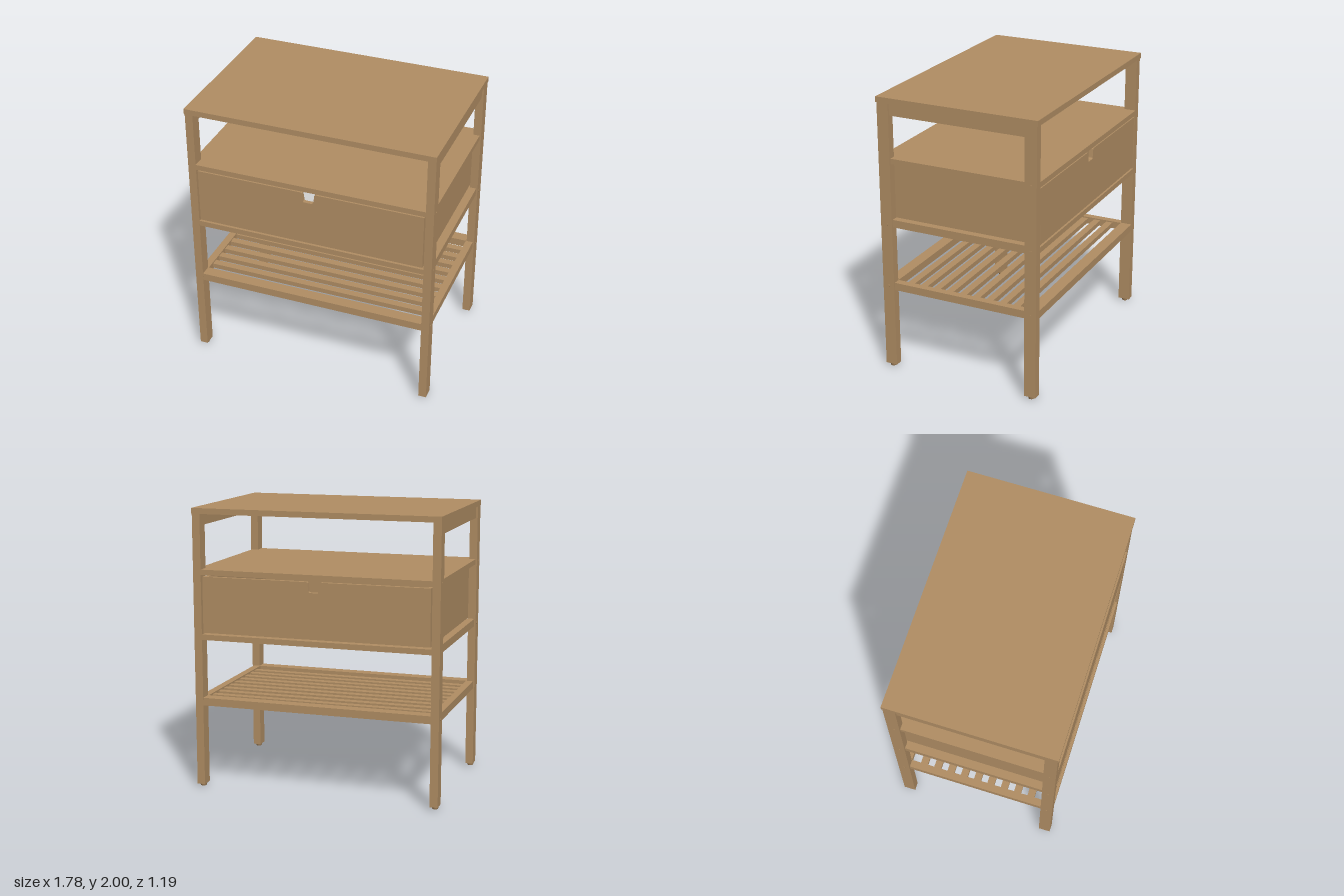
import * as THREE from 'three';

export function createModel() {
  const root = new THREE.Group();
  const wood = new THREE.MeshStandardMaterial({ color: 0xb18e64 });
  wood.name = 'oak wood';
  const grey = new THREE.MeshStandardMaterial({ color: 0xd2d2d2 });
  grey.name = 'pale grey board';

  const add = (name, geometry, material, x, y, z) => {
    const mesh = new THREE.Mesh(geometry, material);
    mesh.name = name;
    mesh.position.set(x, y, z);
    root.add(mesh);
    return mesh;
  };
  // Box given by its low and high limits on each axis
  const box = (name, x0, x1, y0, y1, z0, z1, material = wood) =>
    add(name, new THREE.BoxGeometry(x1 - x0, y1 - y0, z1 - z0), material,
      (x0 + x1) / 2, (y0 + y1) / 2, (z0 + z1) / 2);
  // The same box mirrored to the left and right, or to the front and back
  const sides = (name, x0, x1, y0, y1, z) => {
    box(name, x0, x1, y0, y1, -z, z);
    box(name, -x1, -x0, y0, y1, -z, z);
  };
  const ends = (name, x, y0, y1, z0, z1) => {
    box(name, -x, x, y0, y1, z0, z1);
    box(name, -x, x, y0, y1, -z1, -z0);
  };

  // Table top and the rails under its short sides
  box('tableTop', -0.888, 0.888, 1.96, 2, -0.594, 0.594);
  sides('topSideRail', 0.84, 0.872, 1.875, 1.96, 0.502);

  // Legs with small tapered feet and screw heads on the outside
  const screwHeights = [0.63, 1.095, 1.555];
  for (const sx of [-1, 1]) {
    for (const sz of [-1, 1]) {
      add('leg', new THREE.BoxGeometry(0.057, 1.94, 0.086), wood, sx * 0.857, 0.99, sz * 0.544);
      add('foot', new THREE.CylinderGeometry(0.027, 0.02, 0.02, 16), wood, sx * 0.857, 0.01, sz * 0.544);
      for (const y of screwHeights) {
        const screw = add('screwHead', new THREE.CylinderGeometry(0.01, 0.01, 0.004, 6), wood,
          sx * 0.886, y, sz * 0.544);
        screw.rotation.z = Math.PI / 2;
      }
    }
  }

  // Upper shelf
  box('shelf', -0.829, 0.829, 1.535, 1.573, -0.588, 0.588);
  sides('shelfSideRail', 0.829, 0.875, 1.535, 1.573, 0.502);

  // Frame that carries the drawer
  ends('drawerFrameRail', 0.829, 1.075, 1.114, 0.502, 0.586);
  sides('drawerFrameSideRail', 0.829, 0.875, 1.075, 1.13, 0.502);
  sides('drawerRunner', 0.785, 0.829, 1.075, 1.114, 0.502);

  // Drawer: notched panels front and back, plain sides, grey bottom
  const panel = new THREE.Shape();
  panel.moveTo(-0.818, 1.126);
  panel.lineTo(0.818, 1.126);
  panel.lineTo(0.818, 1.523);
  panel.lineTo(0.053, 1.523);
  panel.quadraticCurveTo(0.046, 1.522, 0.045, 1.512);
  panel.lineTo(0.038, 1.462);
  panel.quadraticCurveTo(0.036, 1.449, 0.026, 1.449);
  panel.lineTo(-0.026, 1.449);
  panel.quadraticCurveTo(-0.036, 1.449, -0.038, 1.462);
  panel.lineTo(-0.045, 1.512);
  panel.quadraticCurveTo(-0.046, 1.522, -0.053, 1.523);
  panel.lineTo(-0.818, 1.523);
  panel.closePath();
  const panelGeometry = new THREE.ExtrudeGeometry(panel, { depth: 0.03, bevelEnabled: false });
  add('drawerFront', panelGeometry, wood, 0, 0, 0.553);
  add('drawerBack', panelGeometry, wood, 0, 0, -0.583);
  sides('drawerSide', 0.788, 0.816, 1.126, 1.52, 0.553);
  box('drawerBottom', -0.788, 0.788, 1.13, 1.144, -0.553, 0.553, grey);

  // Slatted lower shelf
  ends('lowerRail', 0.829, 0.602, 0.657, 0.502, 0.586);
  sides('lowerSideRail', 0.822, 0.875, 0.602, 0.657, 0.502);
  const slats = 9;
  for (let i = 0; i < slats; i++) {
    const z = (i - (slats - 1) / 2) * 0.102;
    box('slat', -0.823, 0.823, 0.612, 0.647, z - 0.026, z + 0.026);
  }

  return root;
}
